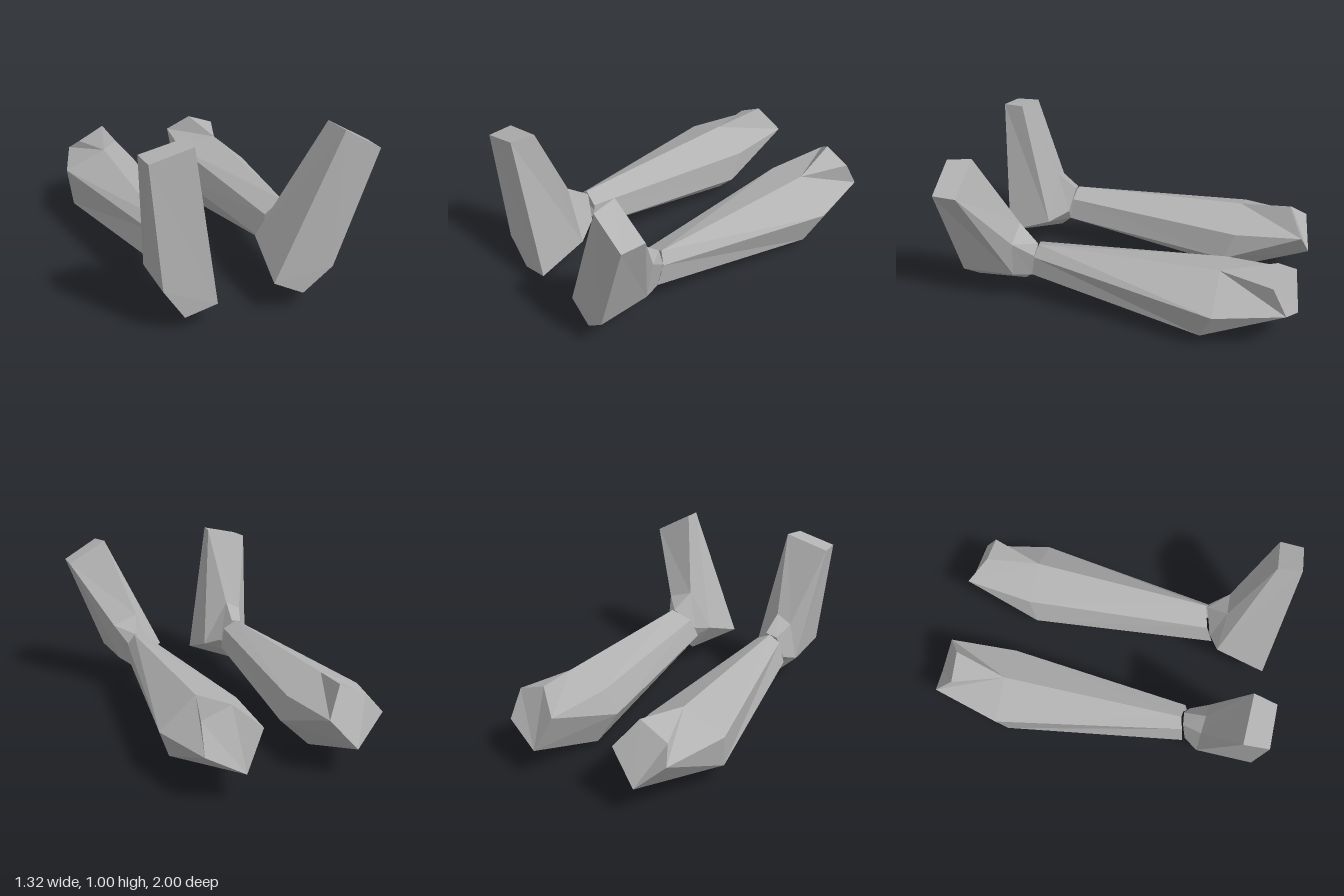
import * as THREE from 'three';

// Skin a stack of matching loops (rear to front, counter-clockwise seen from +z) and cap both ends.
function loft(name, loops, material) {
  const pos = [];
  const tri = (a, b, c) => {
    const [p, q, r] = [a, b, c].map(v => new THREE.Vector3(...v));
    if (q.clone().sub(p).cross(r.clone().sub(p)).length() > 1e-6) pos.push(...a, ...b, ...c);
  };
  const n = loops[0].length;
  for (let s = 0; s + 1 < loops.length; s++) {
    const a = loops[s], b = loops[s + 1];
    for (let i = 0; i < n; i++) {
      const j = (i + 1) % n;
      if (i < n / 2) { // mirrored diagonals on the two halves
        tri(a[i], a[j], b[i]);
        tri(a[j], b[j], b[i]);
      } else {
        tri(a[i], a[j], b[j]);
        tri(a[i], b[j], b[i]);
      }
    }
  }
  const rear = loops[0], front = loops[loops.length - 1];
  for (let k = 1; k + 1 < n; k++) {
    const i = (4 + k) % n, j = (5 + k) % n;
    tri(rear[4], rear[j], rear[i]);
    tri(front[4], front[i], front[j]);
  }
  const g = new THREE.BufferGeometry();
  g.setAttribute('position', new THREE.Float32BufferAttribute(pos, 3));
  g.computeVertexNormals();
  const mesh = new THREE.Mesh(g, material);
  mesh.name = name;
  return mesh;
}

// Shin: five-sided knee end, six-sided calf, narrow ankle end
function makeShin(name, { knee, calf, ankle }, material) {
  const [q, p, l, b, r] = knee;
  const double = ring => [ring[0], ...ring];
  return loft(name, [[q, p, l, l, b, r, r], double(calf), double(ankle)], material);
}

// Foot: ankle stub, instep with heel, toe edge, flat sole
function makeFoot(name, { ankle, instep, toe, heel, sole }, material) {
  return loft(name, [ankle, [...instep, ...heel], [...toe, ...heel], sole], material);
}

// Shin rings run: top, upper -x, lower -x, bottom, lower +x, upper +x
const rightShin = {
  knee: [[-0.34, 0.52, -0.86], [-0.505, 0.43, -0.86], [-0.557, 0.36, -0.955], [-0.385, 0.19, -1], [-0.228, 0.37, -0.955]],
  calf: [[-0.41, 0.46, -0.55], [-0.66, 0.35, -0.55], [-0.636, 0.137, -0.5],
    [-0.36, 0.005, -0.53], [-0.191, 0.173, -0.49], [-0.197, 0.352, -0.55]],
  ankle: [[-0.39, 0.44, 0.53], [-0.45, 0.39, 0.55], [-0.48, 0.25, 0.57],
    [-0.37, 0.18, 0.43], [-0.29, 0.25, 0.56], [-0.3, 0.39, 0.54]],
};
const leftShin = {
  knee: [[0.46, 0.46, -0.86], [0.29, 0.52, -0.86], [0.16, 0.41, -0.96], [0.27, 0.19, -1], [0.475, 0.3, -0.945]],
  calf: [[0.36, 0.46, -0.55], [0.12, 0.4, -0.55], [0.07, 0.232, -0.5],
    [0.194, 0.025, -0.535], [0.49, 0.085, -0.475], [0.57, 0.28, -0.55]],
  ankle: [[0.34, 0.44, 0.53], [0.22, 0.38, 0.57], [0.19, 0.25, 0.62],
    [0.27, 0.18, 0.43], [0.36, 0.23, 0.58], [0.38, 0.37, 0.55]],
};

// Foot rings run: top +x, top -x, side -x, bottom, side +x
const rightFoot = {
  ankle: [[-0.36, 0.44, 0.54], [-0.43, 0.42, 0.55], [-0.47, 0.28, 0.58], [-0.37, 0.2, 0.59], [-0.29, 0.3, 0.57]],
  instep: [[-0.375, 0.53, 0.665], [-0.47, 0.48, 0.66]],
  toe: [[-0.325, 1.003, 0.86], [-0.593, 0.94, 0.86]],
  heel: [[-0.52, 0.25, 0.665], [-0.4, 0.125, 0.665], [-0.22, 0.24, 0.69]],
  sole: [[-0.353, 0.993, 0.99], [-0.583, 0.937, 1], [-0.52, 0.264, 1], [-0.403, 0.088, 0.985], [-0.222, 0.127, 0.975]],
};
const leftFoot = {
  ankle: [[0.38, 0.38, 0.55], [0.33, 0.44, 0.54], [0.2, 0.31, 0.6], [0.27, 0.2, 0.59], [0.36, 0.23, 0.58]],
  instep: [[0.435, 0.475, 0.66], [0.28, 0.53, 0.665]],
  toe: [[0.655, 0.867, 0.86], [0.417, 0.998, 0.86]],
  heel: [[0.12, 0.31, 0.66], [0.26, 0.125, 0.665], [0.4, 0.235, 0.685]],
  sole: [[0.65, 0.867, 1], [0.44, 0.986, 1], [0.092, 0.18, 0.975], [0.258, 0.099, 0.985], [0.417, 0.236, 1]],
};

export function createModel() {
  const grey = new THREE.MeshStandardMaterial({ color: 0xb2b2b2 });
  grey.name = 'grey';
  const model = new THREE.Group();
  model.name = 'lowerLegs';
  for (const [side, shin, foot] of [['right', rightShin, rightFoot], ['left', leftShin, leftFoot]]) {
    const leg = new THREE.Group();
    leg.name = side + 'Leg';
    leg.add(makeShin(side + 'Shin', shin, grey), makeFoot(side + 'Foot', foot, grey));
    model.add(leg);
  }
  return model;
}
